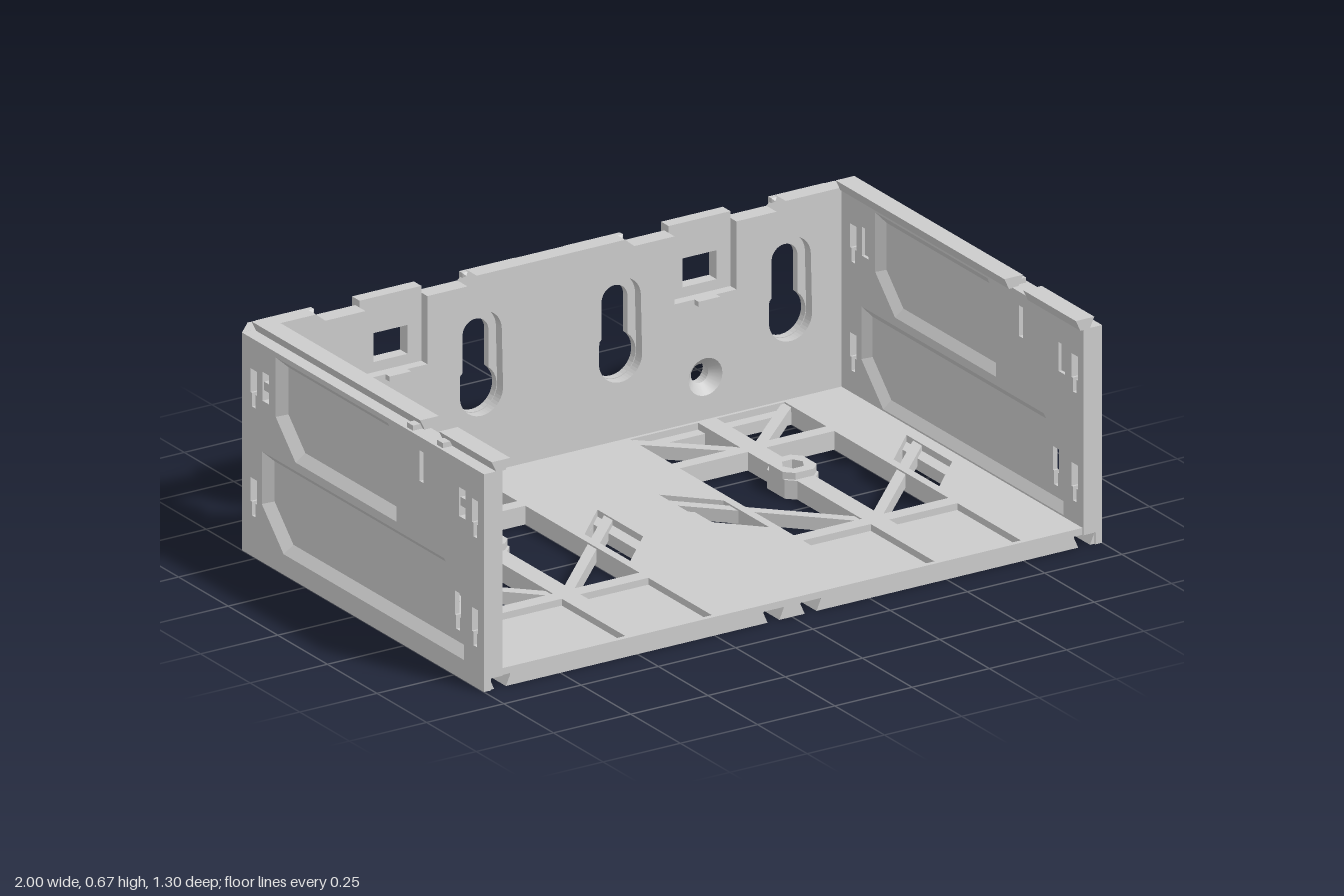
import * as THREE from 'three';
import { ConvexGeometry } from 'three/addons/geometries/ConvexGeometry.js';

const material = new THREE.MeshStandardMaterial({ color: 0xcccccc, side: THREE.DoubleSide });
const V = (pts) => pts.map(([x, y]) => new THREE.Vector2(x, y));
const rect = (x0, x1, y0, y1) => [[x0, y0], [x1, y0], [x1, y1], [x0, y1]];
const circle = (x, y, r, n = 24) => Array.from({ length: n }, (_, i) =>
  [x + r * Math.cos(2 * Math.PI * i / n), y + r * Math.sin(2 * Math.PI * i / n)]);

// Flat plate with holes, spanning z = from..to
function plate(outline, holes, from, to, bevel = 0) {
  const shape = new THREE.Shape(V(outline));
  shape.holes = holes.map((h) => (h instanceof THREE.Path ? h : new THREE.Path(V(h))));
  return new THREE.ExtrudeGeometry(shape, {
    depth: to - from - 2 * bevel, bevelEnabled: bevel > 0, bevelThickness: bevel, bevelSize: bevel,
    bevelOffset: -bevel, bevelSegments: 1, curveSegments: 12,
  }).translate(0, 0, from + bevel);
}

const box = (x0, x1, y0, y1, z0, z1) => new THREE.BoxGeometry(x1 - x0, y1 - y0, z1 - z0)
  .translate((x0 + x1) / 2, (y0 + y1) / 2, (z0 + z1) / 2);

// Mirrored copy across x = 0 with the winding put right
function mirrored(geometry) {
  const g = geometry.index ? geometry.toNonIndexed() : geometry.clone();
  const p = g.attributes.position;
  for (let i = 0; i < p.count; i += 3) {
    const a = [p.getX(i), p.getY(i), p.getZ(i)];
    p.setXYZ(i, -p.getX(i + 1), p.getY(i + 1), p.getZ(i + 1));
    p.setXYZ(i + 1, -a[0], a[1], a[2]);
    p.setX(i + 2, -p.getX(i + 2));
  }
  g.computeVertexNormals();
  return g;
}

// Moves every edge of a counter-clockwise convex outline inwards
function inset(pts, d) {
  const n = pts.length;
  const edge = (i) => {
    const [a, b] = [pts[i % n], pts[(i + 1) % n]];
    const l = Math.hypot(b[0] - a[0], b[1] - a[1]);
    return [-(b[1] - a[1]) / l, (b[0] - a[0]) / l];
  };
  return pts.map(([x, y], i) => {
    const [p, q] = [edge(i + n - 1), edge(i)];
    const k = d / (1 + p[0] * q[0] + p[1] * q[1]);
    return [x + k * (p[0] + q[0]), y + k * (p[1] + q[1])];
  });
}

// Sloping ring between two outlines at different depths
function bevelRing(outer, inner, zOuter, zInner) {
  const v = [], n = outer.length;
  for (let i = 0; i < n; i++) {
    const j = (i + 1) % n;
    const q = [[...outer[i], zOuter], [...outer[j], zOuter], [...inner[j], zInner], [...inner[i], zInner]];
    const order = zOuter > zInner ? [0, 1, 2, 0, 2, 3] : [0, 2, 1, 0, 3, 2];
    order.forEach((k) => v.push(...q[k]));
  }
  const g = new THREE.BufferGeometry();
  g.setAttribute('position', new THREE.Float32BufferAttribute(v, 3));
  g.computeVertexNormals();
  return g;
}

export function createModel() {
  const model = new THREE.Group();
  const add = (name, g) => {
    const m = new THREE.Mesh(g, material);
    m.name = name;
    model.add(m);
  };
  const pair = (name, g) => { add(name + 'Left', g); add(name + 'Right', mirrored(g)); };

  // Side walls, drawn in (-z, y) and turned to face +x
  const side = (g) => g.rotateY(Math.PI / 2);
  const stepSlot = (u, y) => [[u - 0.009, y], [u + 0.009, y], [u + 0.009, y + 0.04], [u + 0.016, y + 0.04],
    [u + 0.016, y + 0.11], [u - 0.016, y + 0.11], [u - 0.016, y + 0.04], [u - 0.009, y + 0.04]];
  const panels = [
    [[-0.21, 0.35], [0.3, 0.35], [0.4, 0.45], [0.4, 0.625], [-0.165, 0.625], [-0.21, 0.58]],
    [[-0.55, 0.06], [0.36, 0.06], [0.47, 0.17], [0.47, 0.325], [-0.45, 0.325], [-0.55, 0.225]],
  ];
  const slots = [[-0.605, 0.44], [-0.605, 0.12], [0.51, 0.44], [0.51, 0.12]].map(([u, y]) => stepSlot(u, y));
  const catches = [-0.54, 0.45];
  pair('sideWall', side(plate(rect(-0.65, 0.57, 0.035, 0.64), [...panels, ...slots,
    rect(-0.345, -0.325, 0.51, 0.6), ...catches.map((u) => rect(u - 0.016, u + 0.016, 0.475, 0.56))], 0.94, 1)));
  panels.forEach((p, i) => {
    const inner = inset(p, 0.026);
    pair('sidePanel', side(plate(p, i ? [stepSlot(-0.48, 0.12)] : [], 0.96, 0.975)));
    pair('panelBevelOuter', side(bevelRing(p, inner, 1, 0.975)));
    pair('panelBevelInner', side(bevelRing(p, inner, 0.94, 0.96)));
  });
  catches.forEach((u) => {
    pair('catchPlate', box(0.95, 0.975, 0.475, 0.56, -u - 0.016, -u + 0.016));
    pair('catchBar', box(0.97, 0.995, 0.505, 0.53, -u - 0.016, -u + 0.016));
  });
  pair('wallFoot', box(0.978, 1, 0, 0.035, -0.57, 0.65));

  // Dovetail rails on the wall tops, with a spring catch in the gap
  const dovetail = [[0.93, 0.638], [0.96, 0.638], [0.975, 0.67], [0.915, 0.67]];
  pair('railFront', plate(dovetail, [], 0.385, 0.65));
  pair('railBack', plate(dovetail, [], -0.56, 0.29));
  for (const z of [0.25, 0.4]) pair('railCatch', box(0.955, 0.992, 0.63, 0.655, z, z + 0.03));

  // Floor in two layers, drawn in (x, -z); u is the distance from each bay centre
  const flat = (g) => g.rotateX(-Math.PI / 2);
  const bay = (cx, pts) => [1, -1].map((s) => pts.map(([u, z]) => [cx + s * u, -z]));
  const midWindow = [[0.03, -0.31], [0.25, -0.31], [0.25, 0.265], [0.03, 0.265],
    [0.03, -0.06], [0.055, -0.085], [0.055, -0.175], [0.03, -0.2]];
  const floorHoles = (cx, top) => [
    ...bay(cx, rect(0.03, 0.25, top ? -0.56 : -0.525, -0.35)),
    ...bay(cx, midWindow),
    ...bay(cx, rect(0.03, 0.25, top ? 0.31 : 0.605, 0.63)),
    ...bay(cx, top ? [[0.275, -0.05], [0.4, -0.18], [0.4, 0.05], [0.275, 0.18]]
      : [[0.275, -0.05], [0.36, -0.138], [0.36, 0.092], [0.275, 0.18]]),
    circle(cx, 0.13, 0.033, 6),
  ];
  add('floorTop', flat(plate(rect(-0.942, 0.942, -0.645, 0.57),
    [...floorHoles(0.5, true), ...floorHoles(-0.5, true)], 0.035, 0.055)));
  pair('floorUnderside', flat(plate(rect(0.093, 0.912, -0.645, 0.57), floorHoles(0.5, false), 0, 0.035)));
  add('floorKeel', box(-0.027, 0.027, 0, 0.035, -0.57, 0.645));
  for (const c of [0.06, 0.945]) {
    for (const s of [-1, 1]) {
      pair('grooveLip', plate([[c + s * 0.034, 0], [c + s * 0.019, 0], [c + s * 0.034, 0.034]], [], -0.56, 0.645));
    }
    pair('grooveEnd', box(c - 0.034, c + 0.034, 0, 0.035, -0.6, -0.56));
  }
  const boss = [[0.03, 0.07], [0.055, 0.095], [0.055, 0.165], [0.03, 0.19],
    [-0.03, 0.19], [-0.055, 0.165], [-0.055, 0.095], [-0.03, 0.07]].map(([x, y]) => [x + 0.5, y]);
  pair('nutBoss', flat(plate(boss, [circle(0.5, 0.13, 0.033, 6)], 0.05, 0.075)));

  // Diagonal floor braces
  const brace = (u0, z0, u1, z1, w) => bay(0.5, [[u0, z0 - w], [u1, z1 - w], [u1, z1 + w], [u0, z0 + w]])
    .forEach((p) => pair('brace', flat(plate(p, [], 0.012, 0.05))));
  brace(0.25, -0.55, 0.03, -0.345, 0.022);
  brace(0.4, -0.125, 0.03, 0.25, 0.022);

  // Back wall in two layers with keyholes, clip windows and screw holes
  const topEdge = (clipY, end) => {
    const half = [[0.24, 0.64], [0.27, 0.615], [0.4, 0.615], [0.4, clipY], [0.6, clipY], [0.6, 0.615],
      [0.73, 0.615], [0.76, 0.64], [end, 0.64], [end, 0]];
    return [...half.map(([x, y]) => [-x, y]).reverse(), ...half];
  };
  const keyhole = (x) => {
    const a = Math.acos(0.042 / 0.068);
    return new THREE.Path().absarc(x, 0.295, 0.068, Math.PI - a, 2 * Math.PI + a)
      .absarc(x, 0.458, 0.042, 0, Math.PI);
  };
  const capsule = (x) => new THREE.Path().absarc(x, 0.295, 0.07, Math.PI, 2 * Math.PI)
    .absarc(x, 0.465, 0.066, 0, Math.PI);
  const keyX = [-0.775, -0.225, 0.225, 0.775];
  const clipWindow = (x) => rect(x - 0.055, x + 0.055, 0.445, 0.53);
  add('backWallInner', plate(topEdge(0.415, 0.97),
    [...keyX.map(capsule), circle(0.5, 0.18, 0.055), circle(-0.5, 0.18, 0.055)], -0.6, -0.57));
  add('backWallOuter', plate(topEdge(0.635, 0.95), [...keyX.map(keyhole), clipWindow(0.5), clipWindow(-0.5),
    circle(0.5, 0.18, 0.028), circle(-0.5, 0.18, 0.028)], -0.622, -0.6));
  pair('screwSink', new THREE.CylinderGeometry(0.055, 0.028, 0.03, 24, 1, true)
    .rotateX(Math.PI / 2).translate(0.5, 0.18, -0.585));
  pair('clipLedge', box(0.465, 0.535, 0.4, 0.415, -0.575, -0.55));

  // Raised outer face: pads wrapped round the keyholes
  const pad = [[0.18, 0], [0.42, 0], [0.42, 0.638], [0.24, 0.638], [0.24, 0.57], [0.33, 0.56],
    [0.36, 0.5], [0.36, 0.24], [0.33, 0.2], [0.3, 0.15], [0.21, 0.15], [0.18, 0.1]];
  for (const s of [1, -1]) {
    pair('keyholePad', plate(pad.map(([u, y]) => [0.5 + s * u, y]), [], -0.65, -0.59, 0.022));
  }
  // Clip columns between the keyholes
  const column = [[0.4, 0], [0.455, 0], [0.455, 0.08], [0.545, 0.08], [0.545, 0], [0.6, 0], [0.6, 0.635], [0.4, 0.635]];
  pair('clipColumn', plate(column, [rect(0.445, 0.555, 0.445, 0.53), rect(0.45, 0.55, 0.25, 0.4),
    circle(0.5, 0.18, 0.035)], -0.65, -0.605, 0.012));

  // Chamfered rear corners
  const corner = [];
  for (const [x, z, y0, y1] of [[1, -0.57, 0, 0.64], [0.87, -0.572, 0, 0.64], [0.95, -0.62, 0, 0.64],
    [0.87, -0.62, 0, 0.64], [0.92, -0.65, 0.035, 0.605], [0.87, -0.65, 0.035, 0.605]]) {
    corner.push(new THREE.Vector3(x, y0, z), new THREE.Vector3(x, y1, z));
  }
  pair('rearCorner', new ConvexGeometry(corner));
  return model;
}
